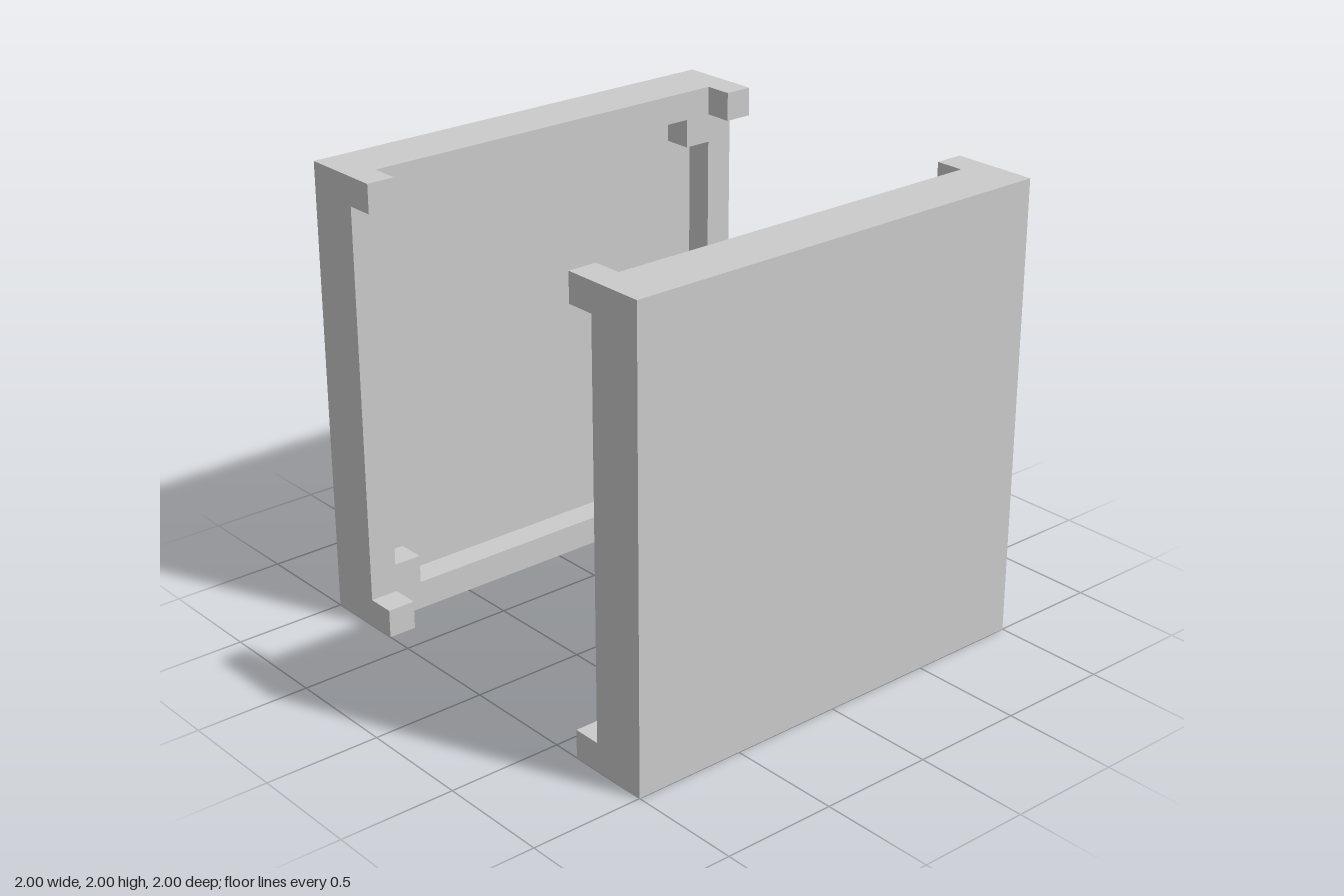
import * as THREE from 'three';

const U = 0.125; // rim width, recess depth and peg size

// Plus-shaped opening: a square with a U-sized block left in each corner
function recessPath() {
  const a = 1 - U, b = 1 - 2 * U;
  const pts = [];
  for (let i = 0; i < 4; i++) {
    for (const [x, y] of [[a, -b], [a, b], [b, b]]) {
      const p = new THREE.Vector2(x, y).rotateAround(new THREE.Vector2(), i * Math.PI / 2);
      pts.push(p);
    }
  }
  return new THREE.Path(pts.reverse());
}

function createPanel(name, material) {
  const panel = new THREE.Group();
  panel.name = name;
  const add = (part, geometry, x, y, z) => {
    const mesh = new THREE.Mesh(geometry, material);
    mesh.name = part;
    mesh.position.set(x, y, z);
    panel.add(mesh);
  };

  // Outer plate, whose inner face is the recess floor
  add('plate', new THREE.BoxGeometry(2, 2, U), 0, 0, 1 - U / 2);

  // Raised rim with filled inner corners
  const outline = new THREE.Shape([[-1, -1], [1, -1], [1, 1], [-1, 1]].map(([x, y]) => new THREE.Vector2(x, y)));
  outline.holes.push(recessPath());
  add('rim', new THREE.ExtrudeGeometry(outline, { depth: U, bevelEnabled: false }), 0, 0, 1 - 2 * U);

  // Cube peg at each outer corner, pointing inward
  const c = 1 - U / 2;
  for (const x of [-c, c]) {
    for (const y of [-c, c]) add('cornerPeg', new THREE.BoxGeometry(U, U, U), x, y, 1 - 2.5 * U);
  }
  panel.position.y = 1;
  return panel;
}

export function createModel() {
  const model = new THREE.Group();
  model.name = 'panelPair';
  const material = new THREE.MeshStandardMaterial({ color: 0xcccccc, flatShading: true });
  const front = createPanel('frontPanel', material);
  const back = createPanel('backPanel', material);
  back.rotation.y = Math.PI;
  model.add(front, back);
  return model;
}
